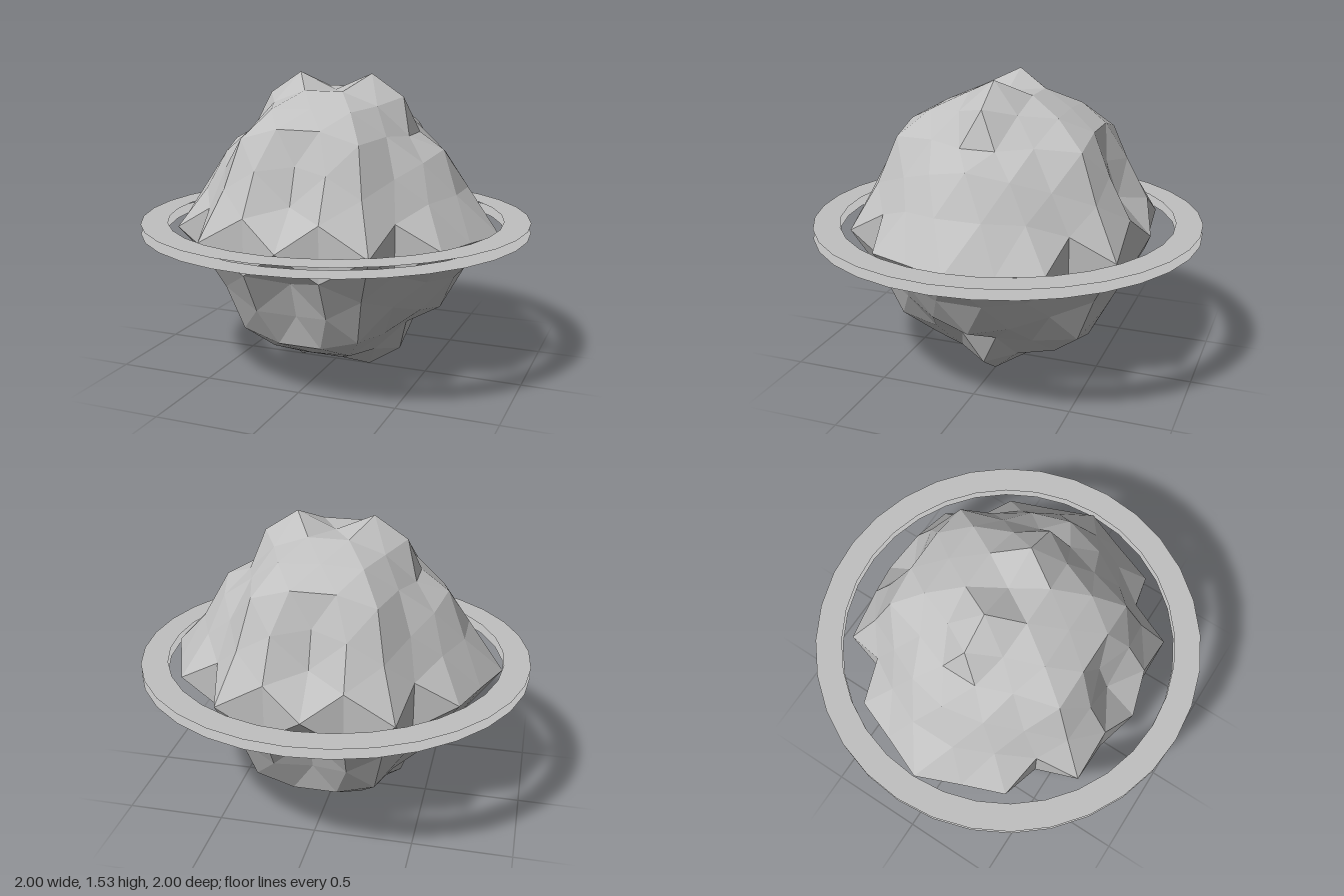
import * as THREE from 'three';

const CENTER_Y = 0.765;
const STRETCH = 1.14; // the rock is a little taller than round

// Crag positions in one octant, mirrored to the other seven
const CRAGS = [
  // around the side poles
  [0.86, 0, 0], [0.77, 0, 0.22], [0.67, 0.205, 0.115], [0.57, 0.405, 0],
  // around the top pole
  [0, 0.68, 0], [0.193, 0.765, 0], [0.1, 0.685, 0.165], [0, 0.615, 0.33],
  // around the front pole
  [0, 0, 0.755], [0, 0.185, 0.58], [0.19, 0.137, 0.69], [0.43, 0, 0.69],
  // corners of the octant
  [0.69, 0, 0.43], [0, 0.365, 0.518], [0.36, 0.655, 0],
  // edges between the corners
  [0.48, 0.122, 0.475], [0.35, 0.24, 0.565], [0.18, 0.34, 0.58],
  [0.11, 0.53, 0.48], [0.205, 0.605, 0.33], [0.275, 0.62, 0.15],
  [0.42, 0.475, 0.09], [0.525, 0.365, 0.2], [0.585, 0.19, 0.3],
  // middle of the octant
  [0.44, 0.31, 0.375], [0.3, 0.475, 0.475], [0.36, 0.49, 0.26],
].map((p) => new THREE.Vector3(...p));

const DIRECTIONS = CRAGS.map((p) => new THREE.Vector3(p.x, p.y / STRETCH, p.z).normalize());

// Moves each vertex of a subdivided icosahedron to its matching crag
function craggyGeometry() {
  const geometry = new THREE.IcosahedronGeometry(1, 3);
  const pos = geometry.attributes.position;
  const dir = new THREE.Vector3();
  for (let i = 0; i < pos.count; i++) {
    const x = pos.getX(i), y = pos.getY(i), z = pos.getZ(i);
    dir.set(Math.abs(x), Math.abs(y), Math.abs(z)).normalize();
    let best = 0;
    DIRECTIONS.forEach((d, k) => {
      if (d.dot(dir) > DIRECTIONS[best].dot(dir)) best = k;
    });
    const p = CRAGS[best];
    pos.setXYZ(i, p.x * Math.sign(x), p.y * Math.sign(y), p.z * Math.sign(z));
  }
  geometry.computeVertexNormals();
  return geometry;
}

export function createModel() {
  const model = new THREE.Group();
  model.name = 'ringedPlanet';

  const rock = new THREE.MeshStandardMaterial({ color: 0xc0c0c0, flatShading: true, side: THREE.DoubleSide });
  rock.name = 'stone grey';

  // Craggy planet
  const planet = new THREE.Mesh(craggyGeometry(), rock);
  planet.name = 'planet';
  planet.position.y = CENTER_Y;
  model.add(planet);

  // Two flat rings, one just above the other
  const ringGeometry = new THREE.RingGeometry(0.865, 1, 32).rotateX(-Math.PI / 2);
  for (const [name, offset] of [['upperRing', 0.026], ['lowerRing', -0.024]]) {
    const ring = new THREE.Mesh(ringGeometry, rock);
    ring.name = name;
    ring.position.y = CENTER_Y + offset;
    model.add(ring);
  }
  return model;
}
